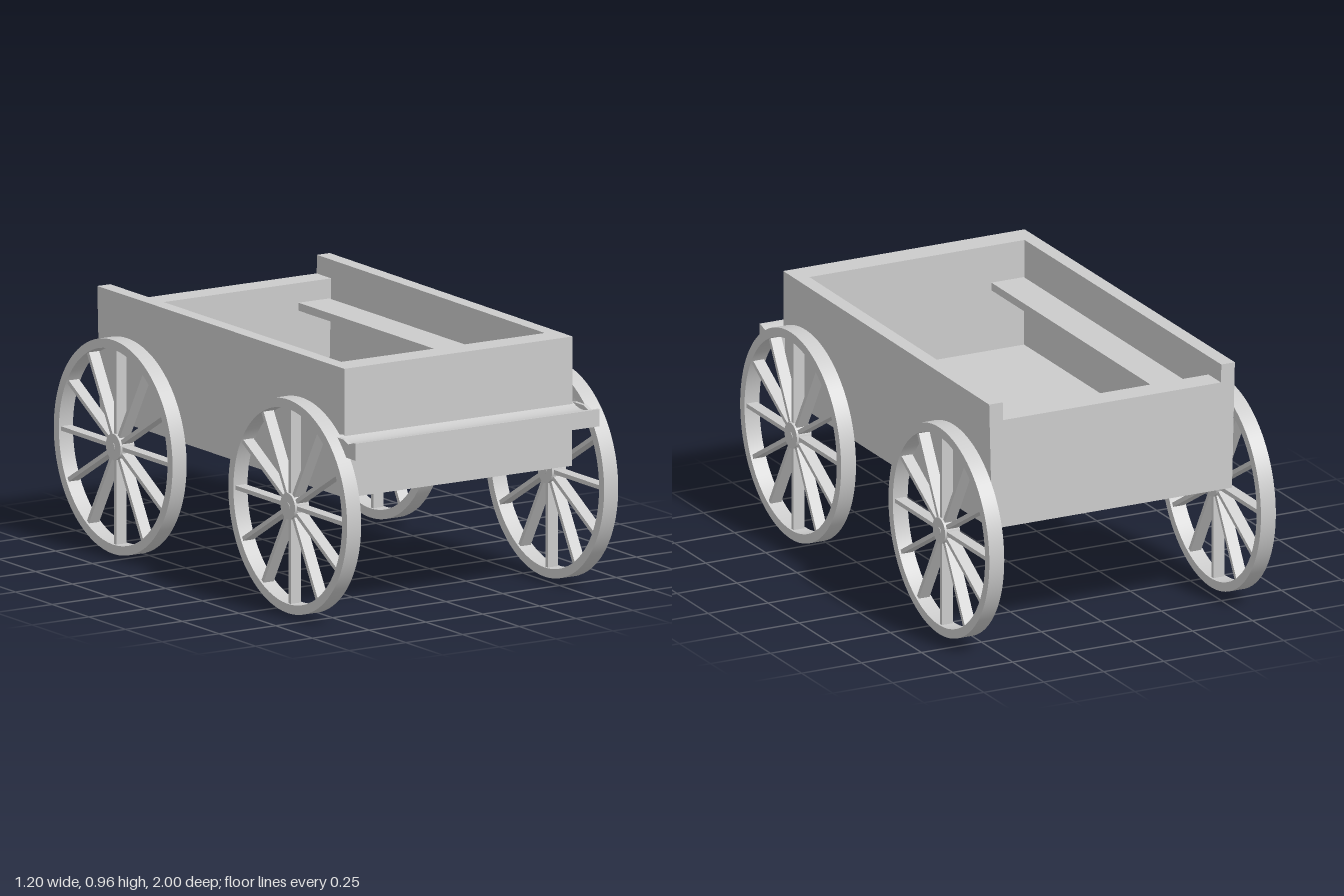
import * as THREE from 'three';
import { toCreasedNormals } from 'three/addons/utils/BufferGeometryUtils.js';

const material = new THREE.MeshStandardMaterial({ color: 0xcccccc });

function part(name, geometry, parent) {
  const mesh = new THREE.Mesh(geometry, material);
  mesh.name = name;
  parent.add(mesh);
  return mesh;
}

// Box given by its lower and upper corners
function boxBetween(x0, x1, y0, y1, z0, z1) {
  return new THREE.BoxGeometry(x1 - x0, y1 - y0, z1 - z0)
    .translate((x0 + x1) / 2, (y0 + y1) / 2, (z0 + z1) / 2);
}

// Widens the tub slightly towards its upper rear corners
function flare(geometry) {
  const p = geometry.attributes.position;
  for (let i = 0; i < p.count; i++) {
    const back = (0.835 - p.getZ(i)) / 1.67;
    const up = (p.getY(i) - 0.47) / 0.49;
    p.setX(i, p.getX(i) * (1 + up * (0.006 + 0.018 * back)));
  }
  geometry.computeVertexNormals();
  return geometry;
}

function createBody() {
  const body = new THREE.Group();
  body.name = 'body';
  part('floor', flare(boxBetween(-0.45, 0.45, 0.47, 0.55, -0.735, 0.73)), body);
  part('frontWall', flare(boxBetween(-0.45, 0.45, 0.47, 0.96, 0.73, 0.835)), body);
  part('tailgate', flare(boxBetween(-0.45, 0.45, 0.47, 0.89, -0.835, -0.735)), body);
  for (const [side, s] of [['left', 1], ['right', -1]]) {
    const [a, b, c] = s > 0 ? [0.31, 0.445, 0.5] : [-0.31, -0.445, -0.5];
    part(side + 'Wall', flare(boxBetween(Math.min(b, c), Math.max(b, c), 0.47, 0.96, -0.835, 0.835)), body);
    part(side + 'Bench', boxBetween(Math.min(a, b), Math.max(a, b), 0.785, 0.815, -0.735, 0.73), body);
  }
  return body;
}

// Front board: scooped ledge with small tapered end plates
function createFrontBoard() {
  const board = new THREE.Group();
  board.name = 'frontBoard';
  // Profile drawn with shape x as forward z
  const profile = new THREE.Shape();
  profile.moveTo(0.825, 0.645);
  profile.lineTo(0.985, 0.645);
  profile.lineTo(0.985, 0.71);
  profile.lineTo(0.973, 0.71);
  profile.quadraticCurveTo(0.88, 0.675, 0.825, 0.71);
  profile.closePath();
  const ledge = new THREE.ExtrudeGeometry(profile, { depth: 1.075, bevelEnabled: false, curveSegments: 10 });
  ledge.rotateY(-Math.PI / 2).translate(0.525, 0, 0);
  part('ledge', toCreasedNormals(ledge, 0.4), board);

  const end = new THREE.Shape();
  end.moveTo(0.825, 0.65);
  end.lineTo(0.94, 0.65);
  end.lineTo(0.94, 0.695);
  end.lineTo(0.9, 0.71);
  end.lineTo(0.825, 0.71);
  end.closePath();
  for (const x of [0.525, -0.535]) {
    const plate = new THREE.ExtrudeGeometry(end, { depth: 0.015, bevelEnabled: false });
    plate.rotateY(-Math.PI / 2).translate(x, 0, 0);
    part('endPlate', plate, board);
  }
  return board;
}

// Wheel built around its own centre, axle along x
function createWheel() {
  const wheel = new THREE.Group();
  const width = 0.062;
  const ring = new THREE.Shape().absarc(0, 0, 0.405, 0, Math.PI * 2);
  ring.holes.push(new THREE.Path().absarc(0, 0, 0.37, 0, Math.PI * 2, true));
  const rim = new THREE.ExtrudeGeometry(ring, { depth: width, bevelEnabled: false, curveSegments: 64 });
  rim.translate(0, 0, -width / 2).rotateY(Math.PI / 2);
  part('rim', toCreasedNormals(rim, 0.5), wheel);

  part('hub', new THREE.CylinderGeometry(0.05, 0.05, width, 32).rotateZ(Math.PI / 2), wheel);
  part('axlePin', new THREE.CylinderGeometry(0.014, 0.014, width + 0.004, 16).rotateZ(Math.PI / 2), wheel);

  // Flat blade spokes, broad along the axle
  const spoke = new THREE.BoxGeometry(0.045, 0.34, 0.016).translate(0, 0.21, 0);
  for (let i = 0; i < 12; i++) {
    part('spoke', spoke, wheel).rotation.x = (i * Math.PI) / 6;
  }
  return wheel;
}

export function createModel() {
  const cart = new THREE.Group();
  cart.name = 'cart';
  cart.add(createBody(), createFrontBoard());
  for (const [end, z] of [['front', 0.595], ['rear', -0.595]]) {
    for (const [side, x] of [['Left', 0.566], ['Right', -0.566]]) {
      const wheel = createWheel();
      wheel.name = end + side + 'Wheel';
      wheel.position.set(x, 0.405, z);
      cart.add(wheel);
    }
  }
  return cart;
}
